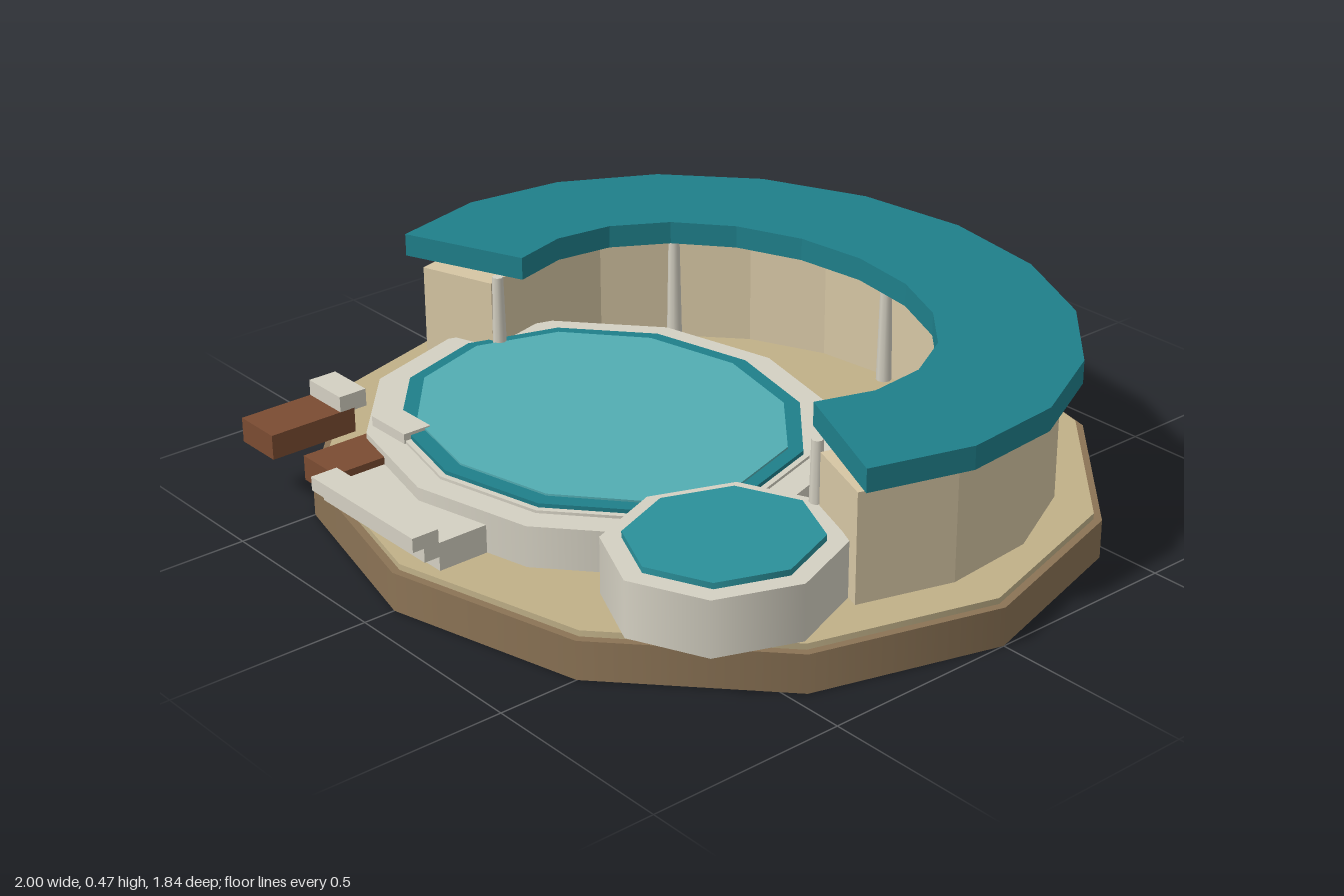
import * as THREE from 'three';

const mat = (color) => new THREE.MeshStandardMaterial({ color });
const STONE = mat(0xd4d0c2), TEAL = mat(0x1f7f8a), WATER = mat(0x52adb3), DEEP = mat(0x2b909a);
const EARTH = mat(0x8b7355), SAND = mat(0xc0b088), WALL = mat(0xd6c6a4), WOOD = mat(0x7b4c32);

// The curved building: arc centre in z, and its two end angles
const ARC_Z = -0.04, START = THREE.MathUtils.degToRad(-23.7), END = THREE.MathUtils.degToRad(202);

export function createModel() {
  const root = new THREE.Group();

  const add = (name, geometry, material, x = 0, y = 0, z = 0, parent = root) => {
    const mesh = new THREE.Mesh(geometry, material);
    mesh.name = name;
    mesh.position.set(x, y, z);
    parent.add(mesh);
    return mesh;
  };

  // Oval many-sided slab between two heights
  const slab = (name, material, rx, rz, y0, y1, sides, x = 0, z = 0) => {
    const g = new THREE.CylinderGeometry(1, 1, y1 - y0, sides);
    g.scale(rx, 1, rz);
    return add(name, g, material, x, (y0 + y1) / 2, z);
  };

  // Box given by its limits
  const block = (name, material, x0, x1, y0, y1, z0, z1, parent = root) =>
    add(name, new THREE.BoxGeometry(x1 - x0, y1 - y0, z1 - z0), material,
      (x0 + x1) / 2, (y0 + y1) / 2, (z0 + z1) / 2, parent);

  // Point on an oval arc, t from 0 (right end) to 1 (left end), shape y = -z
  const arcPoint = (rx, rz, t) => {
    const a = START + (END - START) * t;
    return new THREE.Vector2(rx * Math.cos(a), rz * Math.sin(a) - ARC_Z);
  };

  // Horseshoe band with 12 facets
  const horseshoe = (name, material, outer, inner, y0, y1) => {
    const points = [];
    for (let i = 0; i <= 12; i++) points.push(arcPoint(...outer, i / 12));
    for (let i = 12; i >= 0; i--) points.push(arcPoint(...inner, i / 12));
    const g = new THREE.ExtrudeGeometry(new THREE.Shape(points), { depth: y1 - y0, bevelEnabled: false });
    g.rotateX(-Math.PI / 2);
    return add(name, g, material, 0, y0, 0);
  };

  // Ground
  slab('groundBase', EARTH, 1, 0.92, 0, 0.097, 12);
  slab('sandFloor', SAND, 0.98, 0.9, 0.097, 0.112, 12);

  // Curved building, roof and posts
  horseshoe('curvedWall', WALL, [0.87, 0.745], [0.66, 0.57], 0.11, 0.387);
  horseshoe('curvedRoof', TEAL, [0.92, 0.795], [0.58, 0.457], 0.41, 0.468);
  for (let i = 0; i < 5; i++) {
    const p = arcPoint(0.64, 0.55, i / 4);
    add('roofPost', new THREE.CylinderGeometry(0.014, 0.02, 0.3, 8), STONE, p.x, 0.26, -p.y);
  }

  // Main pool
  slab('poolRim', STONE, 0.615, 0.535, 0.11, 0.215, 12, -0.11, 0.23);
  slab('poolInnerLip', STONE, 0.545, 0.472, 0.215, 0.222, 12, -0.11, 0.23);
  slab('poolTileBand', TEAL, 0.53, 0.457, 0.215, 0.232, 12, -0.11, 0.23);
  slab('poolWater', WATER, 0.495, 0.415, 0.22, 0.237, 12, -0.11, 0.23);

  // Small round pool
  slab('smallPoolRim', STONE, 0.26, 0.28, 0.115, 0.255, 8, 0.583, 0.45);
  slab('smallPoolWater', DEEP, 0.214, 0.23, 0.25, 0.27, 8, 0.583, 0.45);

  // Steps
  [[0.72, 0.85], [0.72, 0.89], [0.85, 0.92]].forEach(([z0, z1], i) =>
    block('step', STONE, -0.31, 0.085, 0.112 + i * 0.035, 0.147 + i * 0.035, z0, z1));

  // Loungers
  for (const x of [-0.64, -0.375]) {
    const lounger = new THREE.Group();
    lounger.name = 'lounger';
    block('loungerSeat', WOOD, x - 0.065, x + 0.065, 0.137, 0.2, 0.62, 0.855, lounger);
    block('loungerHeadrest', STONE, x - 0.065, x + 0.065, 0.195, 0.24, 0.585, 0.66, lounger);
    root.add(lounger);
  }
  return root;
}
